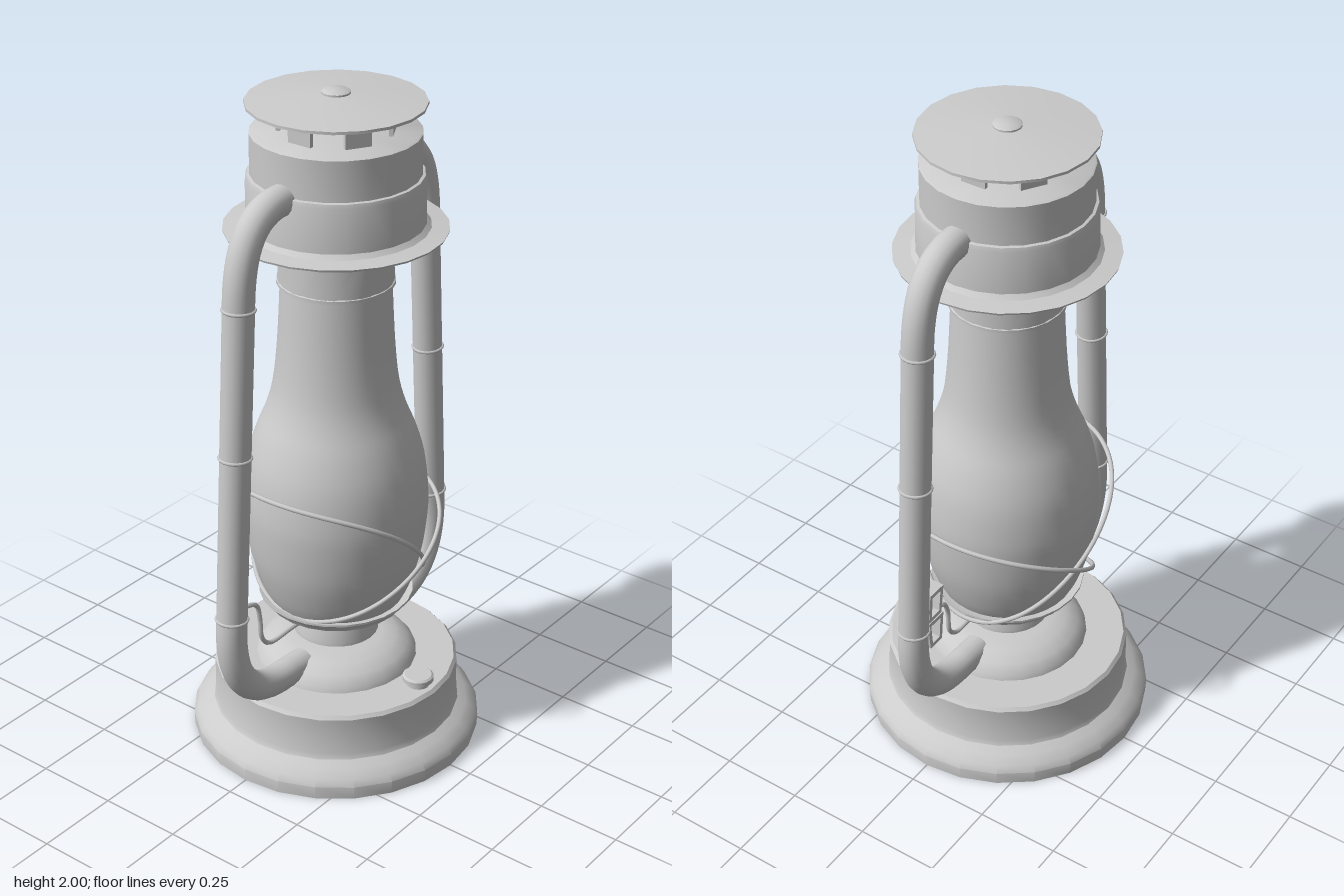
import * as THREE from 'three';
import { toCreasedNormals } from 'three/addons/utils/BufferGeometryUtils.js';

const grey = new THREE.MeshStandardMaterial({ color: 0xcccccc });
const greyDouble = new THREE.MeshStandardMaterial({ color: 0xcccccc, side: THREE.DoubleSide });
const V = (x, y, z = 0) => new THREE.Vector3(x, y, z);

export function createModel() {
  const model = new THREE.Group();
  model.name = 'lantern';

  const add = (name, geometry, parent = model, material = grey) => {
    const mesh = new THREE.Mesh(geometry, material);
    mesh.name = name;
    parent.add(mesh);
    return mesh;
  };
  // Turned part from [radius, height] pairs, listed bottom to top
  const turned = (name, pairs, segments = 24, material = grey) => {
    const pts = pairs.map(([r, y]) => new THREE.Vector2(r, y));
    return add(name, toCreasedNormals(new THREE.LatheGeometry(pts, segments), 0.6), model, material);
  };
  const wire = (name, points, closed = false, radius = 0.007) =>
    add(name, new THREE.TubeGeometry(new THREE.CatmullRomCurve3(points, closed, 'centripetal'), 96, radius, 8, closed));

  // Fuel tank with flared foot
  turned('fuelTank', [[0, 0], [0.43, 0], [0.432, 0.04], [0.42, 0.06], [0.395, 0.08], [0.37, 0.095],
    [0.364, 0.11], [0.364, 0.228], [0.355, 0.238], [0, 0.238]]);
  turned('tankDome', [[0.242, 0.236], [0.237, 0.255], [0.215, 0.28], [0.18, 0.3], [0.14, 0.309], [0, 0.31]]);

  // Filler cap
  const fuelCap = turned('fuelCap', [[0.034, 0.236], [0.034, 0.25], [0.046, 0.254], [0.046, 0.268], [0.04, 0.273], [0, 0.273]], 16);
  fuelCap.position.z = 0.305;

  // Burner and the dish that carries the globe
  turned('burner', [[0.07, 0.3], [0.07, 0.325], [0.127, 0.325], [0.127, 0.335], [0.116, 0.38], [0.118, 0.385],
    [0.106, 0.425], [0, 0.43]]);
  turned('globeDish', [[0.1, 0.428], [0.205, 0.43], [0.21, 0.44], [0.228, 0.458], [0.228, 0.464], [0.2, 0.455], [0, 0.455]]);

  // Glass globe
  const globeProfile = new THREE.SplineCurve([[0.2, 0.45], [0.222, 0.5], [0.251, 0.6], [0.266, 0.72], [0.267, 0.8], [0.256, 0.9],
    [0.23, 0.99], [0.198, 1.07], [0.178, 1.15], [0.165, 1.28], [0.156, 1.455]].map(p => new THREE.Vector2(...p)));
  add('globe', new THREE.LatheGeometry(globeProfile.getPoints(32), 32), model, greyDouble);

  // Perforated collar: ten panels with a round hole, bent around the axis
  const collar = new THREE.Group();
  collar.name = 'ventCollar';
  model.add(collar);
  const collarR = 0.163, half = Math.PI / 10;
  const panel = new THREE.Shape();
  panel.moveTo(-half * collarR, 1.45);
  for (let i = 1; i <= 4; i++) panel.lineTo((-half + i * half / 2) * collarR, 1.45);
  for (let i = 0; i <= 4; i++) panel.lineTo((half - i * half / 2) * collarR, 1.615);
  const hole = new THREE.Path();
  hole.absarc(0, 1.57, 0.018, 0, Math.PI * 2, true);
  panel.holes.push(hole);
  const bent = new THREE.ShapeGeometry(panel, 8);
  const pos = bent.attributes.position, nor = bent.attributes.normal;
  for (let i = 0; i < pos.count; i++) {
    const a = pos.getX(i) / collarR;
    pos.setXYZ(i, collarR * Math.sin(a), pos.getY(i), collarR * Math.cos(a));
    nor.setXYZ(i, Math.sin(a), 0, Math.cos(a));
  }
  for (let i = 0; i < 10; i++) add('ventPanel', bent, collar, greyDouble).rotation.y = i * half * 2;
  turned('collarBand', [[0.154, 1.448], [0.166, 1.448], [0.166, 1.458], [0.162, 1.46]], 24, greyDouble);

  // Hood with brim
  turned('hood', [[0.155, 1.61], [0.31, 1.608], [0.312, 1.614], [0.262, 1.62], [0.249, 1.632], [0.247, 1.758], [0.243, 1.77],
    [0.235, 1.772], [0.235, 1.887], [0.23, 1.89], [0, 1.89]], 24, greyDouble);

  // Posts under the rain cap
  for (let i = 0; i < 6; i++) {
    const post = new THREE.Group();
    post.name = 'capPost';
    post.rotation.y = Math.PI / 6 + i * Math.PI / 3;
    model.add(post);
    add('postStrip', new THREE.BoxGeometry(0.075, 0.085, 0.012), post).position.set(0, 1.93, 0.152);
  }
  turned('rainCap', [[0, 1.963], [0.247, 1.963], [0.247, 1.971], [0.04, 1.991], [0, 1.991]], 20);
  turned('capButton', [[0.04, 1.985], [0.04, 1.996], [0.034, 2], [0, 2]], 16);

  // Side air tubes with joint rings
  for (const side of [0, 1]) {
    const frame = new THREE.Group();
    frame.name = side ? 'rightTube' : 'leftTube';
    frame.rotation.y = side * Math.PI;
    model.add(frame);
    const path = new THREE.CurvePath();
    const topElbow = new THREE.CubicBezierCurve3(V(0.26, 1.76), V(0.36, 1.75), V(0.41, 1.67), V(0.415, 1.51));
    const lowElbow = new THREE.CubicBezierCurve3(V(0.472, 0.58), V(0.495, 0.37), V(0.4, 0.275), V(0.25, 0.277));
    path.add(new THREE.LineCurve3(V(0.2, 1.76), V(0.26, 1.76)));
    path.add(topElbow);
    path.add(new THREE.LineCurve3(V(0.415, 1.51), V(0.472, 0.58)));
    path.add(lowElbow);
    path.add(new THREE.LineCurve3(V(0.25, 0.277), V(0.16, 0.272)));
    add('airTube', new THREE.TubeGeometry(path, 80, 0.044, 16), frame);
    for (const [x, y] of [[0.415, 1.51], [0.442, 1.08], [0.472, 0.58]]) {
      const ring = add('jointRing', new THREE.TorusGeometry(0.044, 0.005, 6, 20), frame);
      ring.position.set(x, y, 0);
      ring.rotation.set(Math.PI / 2, 0.06, 0);
    }
  }

  // Crossed guard wires looping round the globe
  const guard = (name, cx, rx, height) => {
    const pts = [];
    for (let i = 0; i < 24; i++) {
      const a = i / 24 * Math.PI * 2, x = cx + rx * Math.cos(a);
      pts.push(V(x, height(x), 0.29 * Math.sin(a)));
    }
    wire(name, pts, true);
  };
  guard('guardWireA', -0.04, 0.26, x => 0.88 - 0.35 * (x + 0.3) - 0.956 * (x + 0.3) ** 2);
  guard('guardWireB', 0.045, 0.245, x => 0.77 - 0.407 * (0.29 - x) - 0.5 * (0.29 - x) ** 2);

  // Lift wire running between the tubes below the dish
  wire('liftWire', [V(-0.45, 0.59), V(-0.4, 0.588), V(-0.365, 0.57), V(-0.352, 0.52), V(-0.345, 0.455), V(-0.315, 0.42),
    V(-0.2, 0.418), V(0.2, 0.418), V(0.27, 0.42), V(0.3, 0.45), V(0.308, 0.53), V(0.325, 0.57), V(0.36, 0.582), V(0.45, 0.582)]);

  // Lift lever: two tapered open frames
  const lever = new THREE.Group();
  lever.name = 'liftLever';
  model.add(lever);
  const loop = (name, outer) => {
    const c = outer.reduce((s, p) => [s[0] + p[0] / 4, s[1] + p[1] / 4], [0, 0]);
    const shape = new THREE.Shape(outer.map(p => new THREE.Vector2(...p)));
    shape.holes.push(new THREE.Path(outer.map(([x, y]) =>
      new THREE.Vector2(c[0] + (x - c[0]) * 0.6, c[1] + (y - c[1]) * 0.72)).reverse()));
    const g = new THREE.ExtrudeGeometry(shape, { depth: 0.04, bevelEnabled: false });
    g.translate(0, 0, -0.02);
    add(name, g, lever);
  };
  loop('upperLoop', [[0.365, 0.58], [0.425, 0.58], [0.415, 0.675], [0.352, 0.675]]);
  loop('lowerLoop', [[0.365, 0.48], [0.42, 0.48], [0.43, 0.575], [0.355, 0.575]]);

  return model;
}
